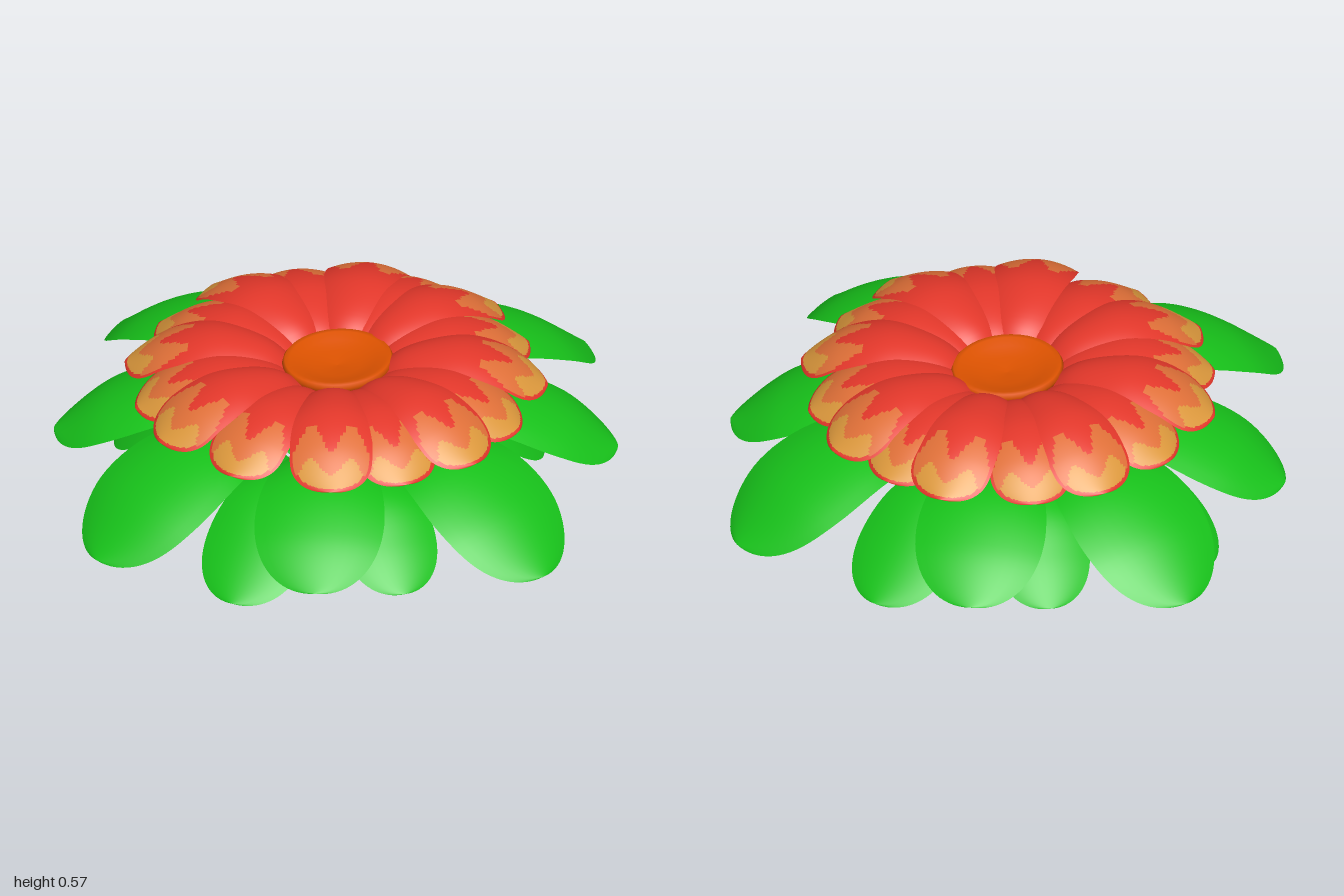
import * as THREE from 'three';

const mat = (name, color) => new THREE.MeshStandardMaterial({ name, color, side: THREE.DoubleSide });

// Curved blade growing along +x. spine: [radius, height] points; w: half width;
// cap: where the round tip starts; neck: relative width at the root;
// zone(t, v, rho) picks the material index of each cell.
function blade({ spine, w, cap, neck, full, droop, nu, nv, zone = () => 0 }) {
  const curve = new THREE.CatmullRomCurve3(spine.map(([r, y]) => new THREE.Vector3(r, y, 0)));
  const pos = [], zones = [[], [], []];
  const rows = [];
  for (let i = 0; i <= nu; i++) {
    const s = i / nu, t = 1 - Math.pow(1 - s, 2);
    const a = Math.max(0, (t - cap) / (1 - cap));
    const grow = neck + (1 - neck) * THREE.MathUtils.smoothstep(t, 0, full);
    const half = w * grow * Math.sqrt(Math.max(0, 1 - Math.pow(a, 2.6)));
    const p = curve.getPointAt(t), d = curve.getTangentAt(t);
    rows.push([t, a]);
    for (let j = 0; j <= nv; j++) {
      const v = (j / nv) * 2 - 1, drop = droop * v * v * half;
      pos.push(p.x + d.y * drop, p.y - d.x * drop, v * half);
    }
  }
  for (let i = 0; i < nu; i++) {
    for (let j = 0; j < nv; j++) {
      const a = i * (nv + 1) + j, b = a + nv + 1;
      const t = (rows[i][0] + rows[i + 1][0]) / 2, cp = (rows[i][1] + rows[i + 1][1]) / 2;
      const v = ((j + 0.5) / nv) * 2 - 1;
      const list = zones[zone(t, v, Math.sqrt(cp * cp + v * v * (1 - cp * cp)))];
      list.push(a, a + 1, b);
      if (i < nu - 1) list.push(a + 1, b + 1, b);
    }
  }
  const geo = new THREE.BufferGeometry();
  geo.setAttribute('position', new THREE.Float32BufferAttribute(pos, 3));
  geo.setIndex(zones.flat());
  let start = 0;
  zones.forEach((z, k) => {
    if (z.length) geo.addGroup(start, z.length, k);
    start += z.length;
  });
  geo.computeVertexNormals();
  return geo;
}

// Petal markings: 0 red body and rim, 1 orange prongs, 2 gold blobs
function petalZone(t, v, rho) {
  const wave = Math.cos(v * Math.PI * 2);
  if (rho > 0.92) return 0;
  if (t > 0.86 + 0.05 * wave) return 2;
  if (t > 0.675 + 0.09 * wave) return 1;
  return 0;
}

export function createModel() {
  const root = new THREE.Group();
  const green = mat('leafGreen', 0x17c21a);
  const red = mat('petalRed', 0xe3372a);
  const orange = mat('petalOrange', 0xe07038);
  const gold = mat('petalGold', 0xdc983c);
  const heart = mat('centreOrange', 0xdc5200);

  const ring = (name, geo, material, degrees) => {
    const group = new THREE.Group();
    group.name = name + 's';
    degrees.forEach((deg) => {
      const mesh = new THREE.Mesh(geo, material);
      mesh.name = name;
      mesh.rotation.y = -THREE.MathUtils.degToRad(deg);
      group.add(mesh);
    });
    root.add(group);
  };
  const lathe = (name, pts, material) => {
    const mesh = new THREE.Mesh(
      new THREE.LatheGeometry(pts.map(([x, y]) => new THREE.Vector2(x, y)), 40), material);
    mesh.name = name;
    root.add(mesh);
    return mesh;
  };

  // Tiers of leaves, all rising from the stem base
  const leaf = { cap: 0.72, neck: 0.12, full: 0.76, droop: 0.2, nu: 36, nv: 12 };
  ring('upperLeaf', blade({ ...leaf, w: 0.222,
    spine: [[0.04, 0.01], [0.1, 0.17], [0.22, 0.33], [0.4, 0.405], [0.58, 0.42], [0.8, 0.34], [1, 0.18]] }),
    green, [0.5, 90.5, 180, 273]);
  ring('middleLeaf', blade({ ...leaf, w: 0.205,
    spine: [[0.04, 0.01], [0.1, 0.15], [0.2, 0.29], [0.36, 0.375], [0.52, 0.39], [0.72, 0.32], [0.89, 0.2]] }),
    green, [46, 137, 222, 313]);
  ring('lowerLeaf', blade({ ...leaf, w: 0.175,
    spine: [[0.04, 0.01], [0.1, 0.11], [0.2, 0.21], [0.32, 0.27], [0.44, 0.26], [0.6, 0.16], [0.76, 0.035]] }),
    green, [-23, 67, 157, 248]);
  ring('innerLeaf', blade({ ...leaf, w: 0.155,
    spine: [[0.04, 0.01], [0.1, 0.11], [0.19, 0.2], [0.3, 0.255], [0.42, 0.245], [0.56, 0.16], [0.69, 0.05]] }),
    green, [23, 113, 203, 293]);

  // Short stem and the green cup under the bloom
  lathe('stem', [[0, 0.02], [0.035, 0.015], [0.05, 0], [0.06, 0.01], [0.055, 0.03], [0.05, 0.1], [0.06, 0.25], [0.1, 0.36]], green);
  lathe('cup', [[0.06, 0.3], [0.14, 0.345], [0.19, 0.39], [0.2, 0.43], [0.19, 0.47], [0.13, 0.475]], green);

  // Two tiers of petals, slightly unevenly spaced
  const petal = { cap: 0.78, neck: 0.48, full: 0.7, droop: 0.24, nu: 52, nv: 28, zone: petalZone };
  const paint = [red, orange, gold];
  ring('upperPetal', blade({ ...petal, w: 0.13,
    spine: [[0.13, 0.475], [0.2, 0.53], [0.3, 0.563], [0.41, 0.57], [0.54, 0.53], [0.67, 0.44]] }),
    paint, [0, 43, 97, 140, 187, 233, 270, 315]);
  ring('lowerPetal', blade({ ...petal, w: 0.128,
    spine: [[0.13, 0.465], [0.2, 0.515], [0.3, 0.547], [0.4, 0.553], [0.53, 0.515], [0.65, 0.43]] }),
    paint, [-21, 21, 72, 117, 163, 207, 251, 291]);

  // Shallow dished flower centre
  const centre = lathe('flowerCentre', [[0.13, 0.455], [0.16, 0.48], [0.168, 0.502], [0.16, 0.513],
    [0.145, 0.513], [0.115, 0.502], [0.07, 0.49], [0, 0.483]], heart);
  centre.scale.z = 1.08;
  centre.position.z = -0.01;

  return root;
}
